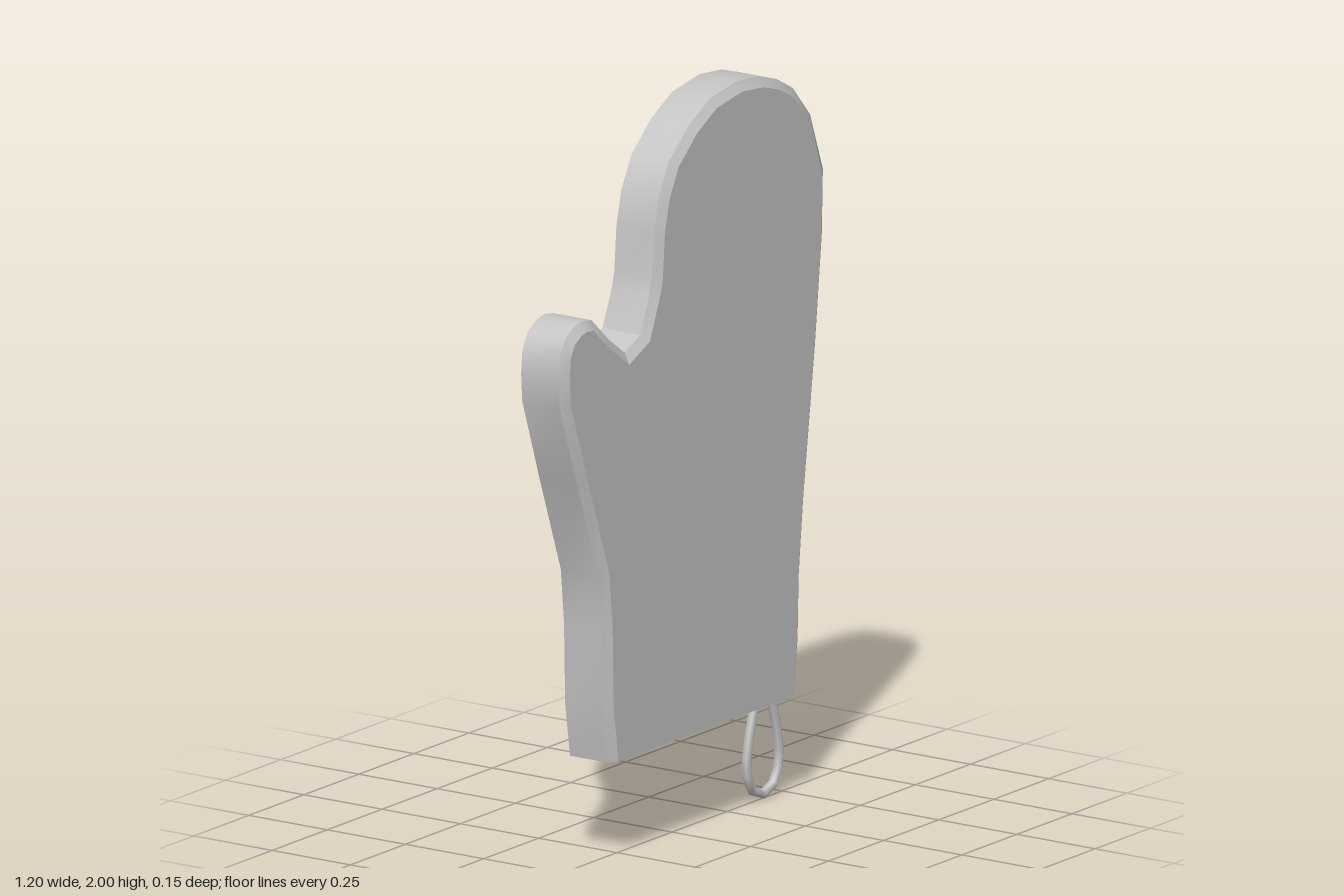
import * as THREE from 'three';
import { toCreasedNormals } from 'three/addons/utils/BufferGeometryUtils.js';

const fabric = new THREE.MeshStandardMaterial({ color: 0xc4c4c4, side: THREE.DoubleSide });
fabric.name = 'grey fabric';

// Outline of the mitt, counter-clockwise from the lower right of the cuff
const OUTLINE = [
  [0.467, 0.285], [0.485, 0.43], [0.49, 0.6], [0.51, 0.8], [0.563, 1.2], [0.595, 1.5],
  [0.6, 1.675], [0.542, 1.835], [0.463, 1.925], [0.39, 1.965], [0.31, 1.99], [0.21, 2.0],
  [0.087, 1.98], [-0.008, 1.93], [-0.1, 1.85], [-0.145, 1.765], [-0.167, 1.675],
  [-0.177, 1.55], [-0.188, 1.51], [-0.23, 1.41], [-0.3, 1.378], [-0.373, 1.43],
  [-0.452, 1.5], [-0.495, 1.507], [-0.53, 1.5], [-0.57, 1.475], [-0.595, 1.43],
  [-0.6, 1.37], [-0.595, 1.294], [-0.52, 1.077], [-0.42, 0.8], [-0.405, 0.65],
  [-0.4, 0.43], [-0.378, 0.285],
].map(([x, y]) => new THREE.Vector2(x, y));

const HALF = 0.077, EDGE = 0.06, BEVEL = 0.026;

function makeGeometry(positions, index, crease) {
  const g = new THREE.BufferGeometry();
  g.setAttribute('position', new THREE.Float32BufferAttribute(positions, 3));
  g.setIndex(index);
  return toCreasedNormals(g, crease);
}

// Outline moved inwards by d; the two cuff ends slide along the hem
function inset(points, d) {
  const last = points.length - 1;
  return points.map((p, i) => {
    if (i === 0) return new THREE.Vector2(p.x - d, p.y);
    if (i === last) return new THREE.Vector2(p.x + d, p.y);
    const a = p.clone().sub(points[i - 1]).normalize();
    const b = points[i + 1].clone().sub(p).normalize();
    const t = a.clone().add(b).normalize();
    const k = d / t.dot(a);
    return new THREE.Vector2(p.x - t.y * k, p.y + t.x * k);
  });
}

// Flat front and back joined by a bevelled side wall
function mittGeometry() {
  const inner = inset(OUTLINE, BEVEL), n = OUTLINE.length;
  const rings = [[inner, HALF], [OUTLINE, EDGE], [OUTLINE, -EDGE], [inner, -HALF]];
  const pos = [], idx = [];
  rings.forEach(([pts, z]) => pts.forEach(p => pos.push(p.x, p.y, z)));
  for (let j = 0; j < 3; j++) {
    for (let i = 0; i < n - 1; i++) {
      const a = j * n + i, b = a + n;
      idx.push(a, b, b + 1, a, b + 1, a + 1);
    }
  }
  THREE.ShapeUtils.triangulateShape(inner, []).forEach(([a, b, c]) => {
    idx.push(a, b, c, 3 * n + a, 3 * n + c, 3 * n + b);
  });
  return makeGeometry(pos, idx, 0.55);
}

// Hem rim and hollow opening, from chamfered cross-sections
function cuffGeometry() {
  const section = (d, y) => {
    const x0 = -0.378 + d, x1 = 0.467 - d, h = HALF - d, e = EDGE - d, b = BEVEL;
    return [[x1, -e], [x1, e], [x1 - b, h], [x0 + b, h],
      [x0, e], [x0, -e], [x0 + b, -h], [x1 - b, -h]].map(([x, z]) => [x, y, z]);
  };
  const loops = [section(0, 0.285), section(0.025, 0.285), section(0.025, 0.55)];
  const pos = loops.flat(2), idx = [];
  for (let k = 0; k < 2; k++) {
    for (let i = 0; i < 8; i++) {
      const a = k * 8 + i, b = k * 8 + (i + 1) % 8;
      idx.push(a, b, b + 8, a, b + 8, a + 8);
    }
  }
  for (let i = 1; i < 7; i++) idx.push(16, 16 + i, 17 + i);
  return makeGeometry(pos, idx, 0.5);
}

// Hanging loop, a thin cord with both ends tucked into the cuff
function loopGeometry() {
  const path = new THREE.CatmullRomCurve3([
    [0.39, 0.32], [0.376, 0.27], [0.35, 0.18], [0.338, 0.1], [0.358, 0.04], [0.413, 0.015],
    [0.466, 0.04], [0.486, 0.1], [0.475, 0.18], [0.449, 0.27], [0.435, 0.32],
  ].map(([x, y]) => new THREE.Vector3(x, y, 0)));
  return new THREE.TubeGeometry(path, 14, 0.0135, 6, false);
}

export function createModel() {
  const model = new THREE.Group();
  model.name = 'ovenMitt';
  const add = (name, geometry) => {
    const mesh = new THREE.Mesh(geometry, fabric);
    mesh.name = name;
    model.add(mesh);
  };
  add('mittBody', mittGeometry());
  add('cuffOpening', cuffGeometry());
  add('hangingLoop', loopGeometry());
  return model;
}
